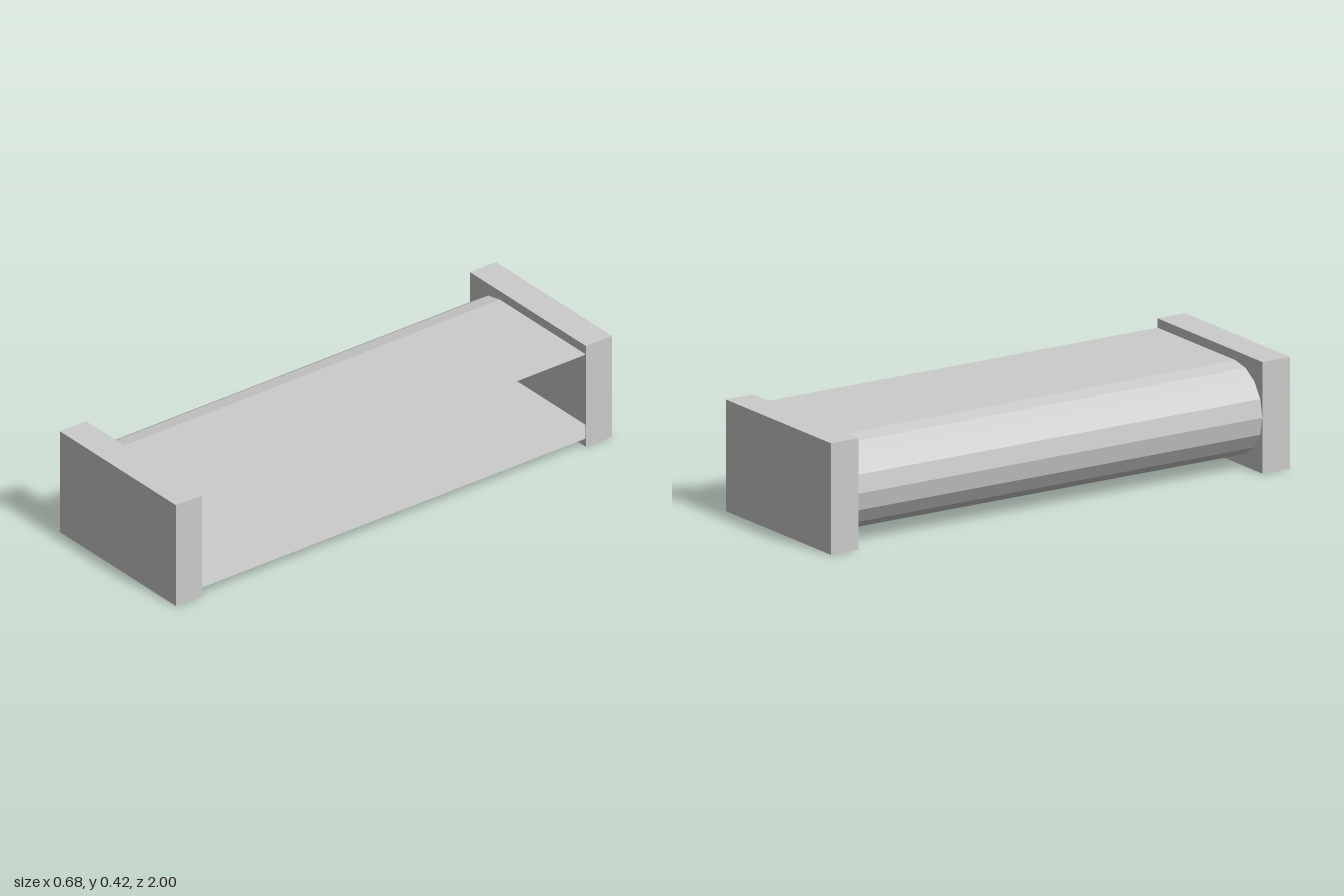
import * as THREE from 'three';

const W = 0.34, H = 0.42, MID = H / 2; // plate half width, height, mid height
const R = 0.175, BEND_X = -0.165;      // bend radius and centre
const INNER = 0.88, FLOOR = 0.94;      // plate inner face and pocket floor along z

// U-shaped section: top edge, eight-sided half-round bend, bottom edge
function sectionPoints(endX) {
  const pts = [new THREE.Vector2(endX, MID + R)];
  for (let i = 0; i <= 8; i++) {
    const a = Math.PI / 2 + (i / 8) * Math.PI;
    pts.push(new THREE.Vector2(BEND_X + R * Math.cos(a), MID + R * Math.sin(a)));
  }
  pts.push(new THREE.Vector2(endX, MID - R));
  return pts;
}

// Thin sheet swept along z
function sheetGeometry() {
  const pts = sectionPoints(W);
  const pos = [], index = [];
  pts.forEach((p) => pos.push(p.x, p.y, -INNER, p.x, p.y, INNER));
  for (let i = 0; i < pts.length - 1; i++) {
    const a = i * 2;
    index.push(a, a + 2, a + 1, a + 1, a + 2, a + 3);
  }
  const g = new THREE.BufferGeometry();
  g.setAttribute('position', new THREE.Float32BufferAttribute(pos, 3));
  g.setIndex(index);
  const flat = g.toNonIndexed();
  flat.computeVertexNormals();
  return flat;
}

export function createModel() {
  const model = new THREE.Group();
  const solid = new THREE.MeshStandardMaterial({ color: 0xcccccc, flatShading: true });
  const thin = new THREE.MeshStandardMaterial({ color: 0xcccccc, flatShading: true, side: THREE.DoubleSide });

  const sheet = new THREE.Mesh(sheetGeometry(), thin);
  sheet.name = 'curvedSheet';
  model.add(sheet);

  // End plates: a solid outer slab and an inner rim with a pocket shaped like the sheet
  const rimShape = new THREE.Shape([
    new THREE.Vector2(-W - 0.002, 0), new THREE.Vector2(W, 0),
    new THREE.Vector2(W, H), new THREE.Vector2(-W - 0.002, H),
  ]);
  rimShape.holes.push(new THREE.Path(sectionPoints(W - 0.002)));
  const rimGeo = new THREE.ExtrudeGeometry(rimShape, { depth: FLOOR - INNER, bevelEnabled: false });
  const slabGeo = new THREE.BoxGeometry(2 * W + 0.002, H, 1 - FLOOR);

  for (const s of [1, -1]) {
    const plate = new THREE.Group();
    plate.name = s > 0 ? 'frontEndPlate' : 'backEndPlate';
    const slab = new THREE.Mesh(slabGeo, solid);
    slab.name = 'plateSlab';
    slab.position.set(-0.001, MID, s * (1 + FLOOR) / 2);
    const rim = new THREE.Mesh(rimGeo, solid);
    rim.name = 'plateRim';
    rim.position.z = s > 0 ? INNER : -FLOOR;
    plate.add(slab, rim);
    model.add(plate);
  }
  return model;
}
